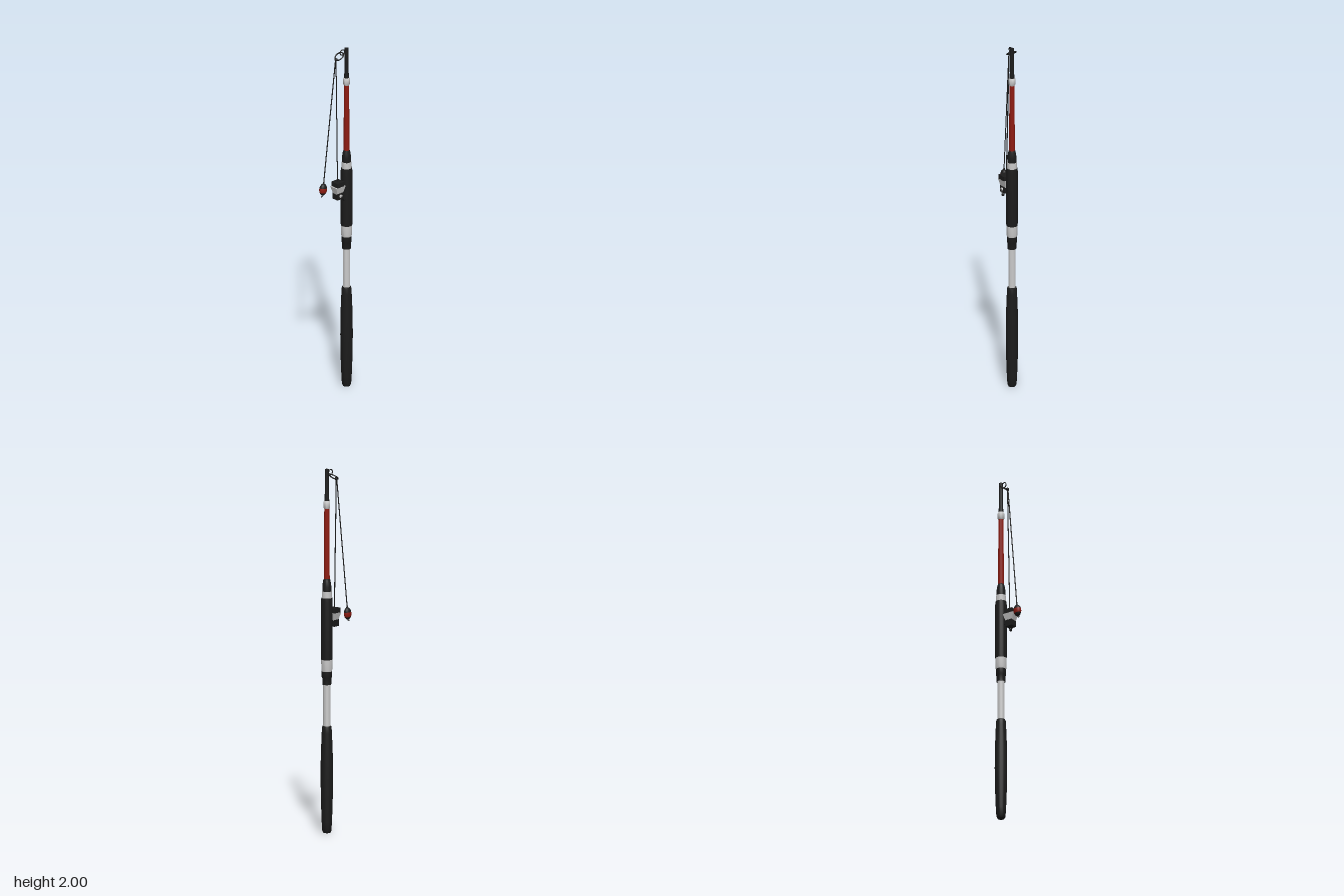
import * as THREE from 'three';
import { toCreasedNormals } from 'three/addons/utils/BufferGeometryUtils.js';

const mat = (color) => new THREE.MeshStandardMaterial({ color, side: THREE.DoubleSide });
const black = mat(0x1c1c1c), red = mat(0x8f1c12), grey = mat(0xcccccc);
const V = (x, y, z) => new THREE.Vector3(x, y, z);

function add(parent, name, geometry, material, x = 0, y = 0, z = 0) {
  const mesh = new THREE.Mesh(geometry, material);
  mesh.name = name;
  mesh.position.set(x, y, z);
  parent.add(mesh);
  return mesh;
}

// Closed turned section from [radius, height] pairs
function turned(parent, name, profile, material) {
  const pts = [[0, profile[0][1]], ...profile, [0, profile.at(-1)[1]]];
  const geo = new THREE.LatheGeometry(pts.map(([r, y]) => new THREE.Vector2(r, y)), 20);
  return add(parent, name, toCreasedNormals(geo, 0.6), material);
}

// Thin tube through a list of points
function wire(parent, name, points, radius, material = black) {
  const curve = new THREE.CatmullRomCurve3(points);
  return add(parent, name, new THREE.TubeGeometry(curve, points.length * 6, radius, 6), material);
}

export function createModel() {
  const model = new THREE.Group();
  model.name = 'fishingRod';

  // Rod, from butt to tip
  const rod = new THREE.Group();
  rod.name = 'rod';
  rod.position.x = 0.063;
  model.add(rod);
  const sections = [
    ['lowerGrip', black, [[0.019, 0], [0.025, 0.012], [0.028, 0.06], [0.032, 0.17], [0.034, 0.3], [0.033, 0.42], [0.028, 0.55], [0.026, 0.58], [0.023, 0.588]]],
    ['lowerTube', grey, [[0.02, 0.58], [0.02, 0.82]]],
    ['lowerCollar', black, [[0.024, 0.815], [0.025, 0.85], [0.028, 0.857], [0.028, 0.888]]],
    ['lowerBand', grey, [[0.027, 0.885], [0.03, 0.9], [0.031, 0.955]]],
    ['reelSeat', black, [[0.031, 0.953], [0.032, 0.97], [0.032, 1.27], [0.03, 1.292]]],
    ['upperBand', grey, [[0.027, 1.29], [0.027, 1.328]]],
    ['upperCollar', black, [[0.025, 1.325], [0.025, 1.355], [0.02, 1.388], [0.016, 1.397]]],
    ['blank', red, [[0.016, 1.39], [0.014, 1.79]]],
    ['ferrule', grey, [[0.015, 1.782], [0.018, 1.788], [0.018, 1.82], [0.015, 1.826]]],
    ['tip', black, [[0.014, 1.82], [0.011, 1.87], [0.011, 2]]],
  ];
  for (const [name, material, profile] of sections) turned(rod, name, profile, material);

  // Line guide: tilted ring with a small loop joining it to the tip
  const guide = new THREE.Group();
  guide.name = 'lineGuide';
  model.add(guide);
  const ring = add(guide, 'guideRing', new THREE.TorusGeometry(0.026, 0.0035, 8, 28), black, 0.026, 1.955, -0.016);
  ring.rotation.set(Math.PI / 2, 0.65, 0, 'ZYX');
  ring.rotation.set(Math.PI / 2, 0, 0);
  ring.rotateOnWorldAxis(V(0, 0, 1), 0.65);
  add(guide, 'guideLoop', new THREE.TorusGeometry(0.015, 0.003, 8, 20), black, 0.038, 1.98, -0.004);
  wire(guide, 'guideArm', [V(0.06, 1.965, 0), V(0.046, 1.968, -0.008)], 0.004);
  add(guide, 'lineKnot', new THREE.SphereGeometry(0.009, 12, 8), black, 0.003, 1.942, -0.014);

  // Fishing line down to the reel and to the float
  wire(model, 'reelLine', [V(0.003, 1.942, -0.014), V(0.001, 1.22, 0.002)], 0.003);
  wire(model, 'floatLine', [V(0, 1.945, -0.014), V(-0.074, 1.22, -0.023)], 0.003);

  // Float with a red band, black ends and a small hook
  const bobber = new THREE.Group();
  bobber.name = 'float';
  bobber.position.set(-0.077, 1.19, -0.023);
  bobber.rotation.z = -0.1;
  model.add(bobber);
  const shell = (name, from, to, material) => {
    const geo = new THREE.SphereGeometry(1, 20, 8, 0, Math.PI * 2, from, to - from);
    add(bobber, name, geo, material).scale.set(0.023, 0.034, 0.018);
  };
  shell('floatTop', 0, 1.3, black);
  shell('floatBand', 1.3, 2.1, red);
  shell('floatBottom', 2.1, Math.PI, black);
  add(bobber, 'floatCap', new THREE.CylinderGeometry(0.004, 0.006, 0.014, 10), black, 0, 0.036, 0);
  wire(bobber, 'hook', [V(0, -0.03, 0), V(0, -0.039, 0), V(-0.006, -0.043, 0), V(-0.01, -0.037, 0)], 0.002);

  // Reel: spool, tapered housing, gearbox, foot and crank
  const reel = new THREE.Group();
  reel.name = 'reel';
  reel.position.set(0, 1.18, 0.008);
  reel.rotation.y = 0.12;
  model.add(reel);
  const housing = new THREE.CylinderGeometry(0.034 * Math.SQRT2, 0.021 * Math.SQRT2, 0.045, 4);
  housing.rotateY(Math.PI / 4).scale(1, 1, 0.75);
  add(reel, 'reelHousing', toCreasedNormals(housing, 0.4), grey);
  add(reel, 'spool', new THREE.BoxGeometry(0.05, 0.026, 0.05), black, -0.001, 0.035, 0);
  add(reel, 'gearbox', new THREE.BoxGeometry(0.044, 0.036, 0.04), black, 0, -0.034, 0);
  add(reel, 'reelFoot', new THREE.BoxGeometry(0.045, 0.018, 0.018), black, 0.038, -0.024, -0.004);
  const hub = add(reel, 'crankHub', new THREE.CylinderGeometry(0.009, 0.009, 0.008, 14), grey, 0, -0.032, 0.022);
  hub.rotation.x = Math.PI / 2;
  wire(reel, 'crankArm', [V(0, -0.032, 0.026), V(0.012, -0.048, 0.028), V(0.02, -0.057, 0.028)], 0.004);
  const knob = add(reel, 'crankKnob', new THREE.CylinderGeometry(0.006, 0.006, 0.012, 12), black, 0.02, -0.057, 0.028);
  knob.rotation.x = Math.PI / 2;

  return model;
}
